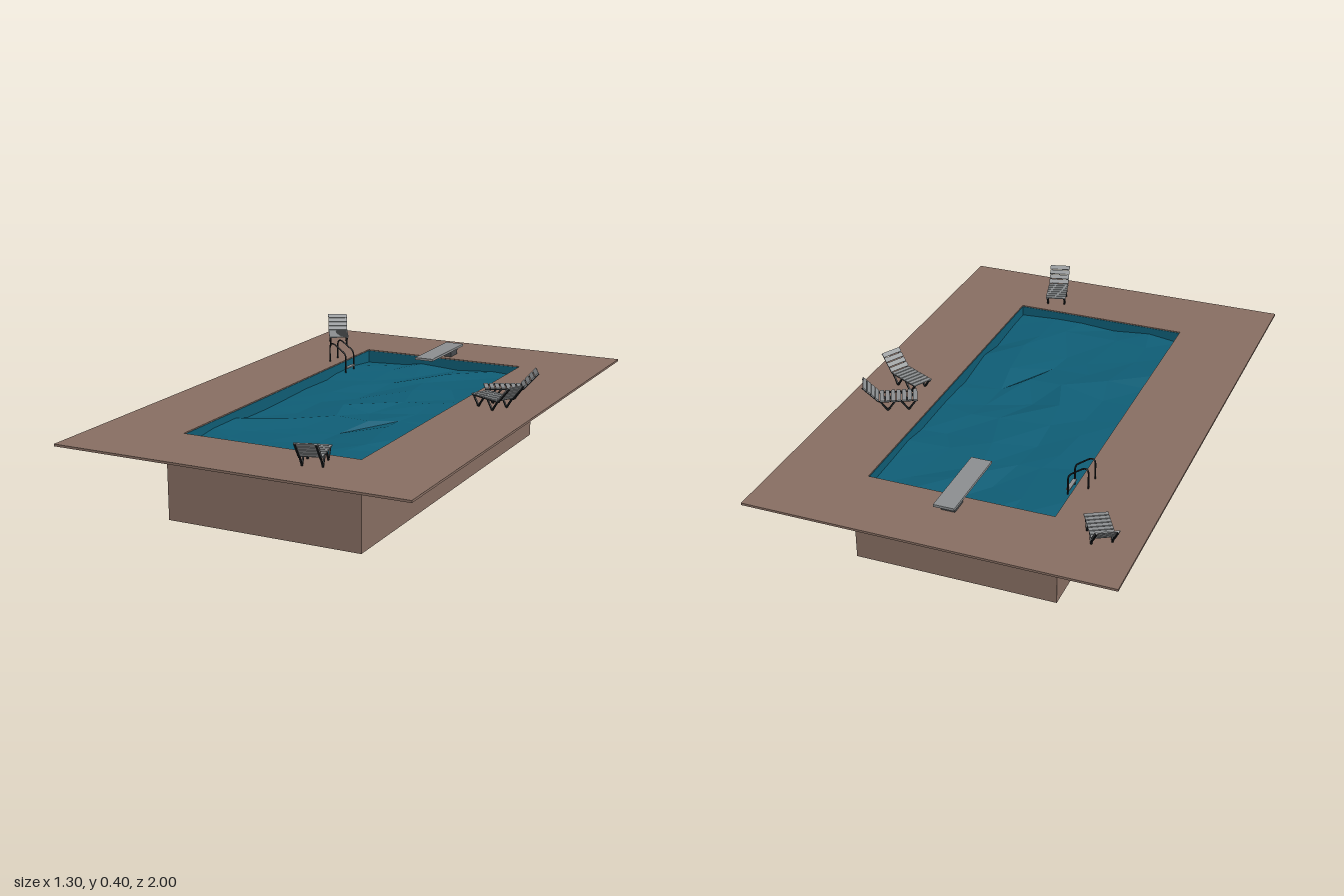
import * as THREE from 'three';

const mat = (name, color) => {
  const m = new THREE.MeshStandardMaterial({ color });
  m.name = name;
  return m;
};

export function createModel() {
  const stone = mat('brown stone', 0x876e62);
  const teal = mat('pool teal', 0x0f5d75);
  const grey = mat('light grey', 0x8b8e90);
  const darkGrey = mat('dark grey', 0x46494c);
  const black = mat('dark metal', 0x1b1f22);
  teal.side = THREE.DoubleSide;

  const model = new THREE.Group();
  model.name = 'swimmingPool';
  const add = (parent, name, geo, material, x = 0, y = 0, z = 0) => {
    const m = new THREE.Mesh(geo, material);
    m.name = name;
    m.position.set(x, y, z);
    parent.add(m);
    return m;
  };
  const box = (w, h, d) => new THREE.BoxGeometry(w, h, d);

  // Rectangular ring lying flat, outer and inner half sizes, rising from y = 0
  const ring = (ox, oz, ix, iz, h) => {
    const rect = (C, x, z) => {
      const p = new C();
      p.moveTo(-x, -z); p.lineTo(x, -z); p.lineTo(x, z); p.lineTo(-x, z); p.closePath();
      return p;
    };
    const s = rect(THREE.Shape, ox, oz);
    s.holes.push(rect(THREE.Path, ix, iz));
    return new THREE.ExtrudeGeometry(s, { depth: h, bevelEnabled: false }).rotateX(-Math.PI / 2);
  };

  // Deck and basin
  add(model, 'deck', ring(0.65, 1, 0.336, 0.702, 0.008), stone, 0, 0.287, 0);
  add(model, 'basinWalls', ring(0.366, 0.764, 0.336, 0.702, 0.272), stone, 0, 0.015, 0);
  add(model, 'basinFloor', box(0.732, 0.015, 1.528), stone, 0, 0.0075, 0);
  add(model, 'poolLining', ring(0.3358, 0.7018, 0.334, 0.7, 0.275), teal, 0, 0.016, 0);

  // Faceted water surface, jittered by a seeded generator
  let seed = 7;
  const rand = () => (seed = (seed * 16807) % 2147483647) / 2147483647 - 0.5;
  let water = new THREE.PlaneGeometry(0.668, 1.4, 5, 10).rotateX(-Math.PI / 2);
  const p = water.attributes.position;
  for (let i = 0; i < p.count; i++) {
    const x = p.getX(i), z = p.getZ(i);
    if (Math.abs(x) < 0.33) p.setX(i, x + rand() * 0.09);
    if (Math.abs(z) < 0.69) p.setZ(i, z + rand() * 0.1);
    p.setY(i, rand() * 0.026);
  }
  water = water.toNonIndexed();
  water.computeVertexNormals();
  add(model, 'water', water, teal, 0, 0.255, 0);

  // Diving board
  add(model, 'divingBoard', box(0.075, 0.009, 0.312), grey, 0, 0.327, -0.674);
  add(model, 'divingBoardBase', box(0.05, 0.028, 0.065), darkGrey, 0, 0.309, -0.765);

  // Ladder: two bent rails joined by steps
  const ladder = new THREE.Group();
  ladder.name = 'ladder';
  model.add(ladder);
  const path = new THREE.CurvePath();
  const v = (x, y) => new THREE.Vector3(x, y, 0);
  path.add(new THREE.LineCurve3(v(-0.38, 0.29), v(-0.38, 0.35)));
  path.add(new THREE.QuadraticBezierCurve3(v(-0.38, 0.35), v(-0.38, 0.383), v(-0.352, 0.363)));
  path.add(new THREE.LineCurve3(v(-0.352, 0.363), v(-0.32, 0.34)));
  path.add(new THREE.QuadraticBezierCurve3(v(-0.32, 0.34), v(-0.308, 0.331), v(-0.308, 0.316)));
  path.add(new THREE.LineCurve3(v(-0.308, 0.316), v(-0.308, 0.13)));
  for (const z of [-0.508, -0.44])
    add(ladder, 'ladderRail', new THREE.TubeGeometry(path, 48, 0.003, 8), black, 0, 0, z);
  for (const y of [0.275, 0.23, 0.18])
    add(ladder, 'ladderStep', box(0.014, 0.005, 0.068), grey, -0.308, y, -0.474);

  // Straight bar between two points
  const bar = (parent, name, a, b, t, material) => {
    const A = new THREE.Vector3(...a), B = new THREE.Vector3(...b);
    const m = add(parent, name, box(t, t, A.distanceTo(B)), material);
    m.position.copy(A).add(B).multiplyScalar(0.5);
    m.lookAt(B);
  };

  // Lounger: foot end at +z, raised back at -z
  const makeLounger = (x, z, degrees) => {
    const g = new THREE.Group();
    g.name = 'lounger';
    for (const s of [-0.034, 0.034]) {
      bar(g, 'seatRail', [s, 0.037, 0.098], [s, 0.037, -0.042], 0.005, black);
      bar(g, 'backRail', [s, 0.037, -0.042], [s, 0.096, -0.098], 0.005, black);
      for (const f of [-0.01, 0.065]) {
        bar(g, 'leg', [s, 0.001, f], [s, 0.037, f - 0.027], 0.0055, black);
        bar(g, 'leg', [s, 0.001, f], [s, 0.037, f + 0.027], 0.0055, black);
      }
    }
    for (let i = 0; i < 7; i++)
      add(g, 'seatSlat', box(0.08, 0.004, 0.016), grey, 0, 0.041, 0.09 - i * 0.02);
    const tilt = Math.atan2(0.059, 0.056);
    for (let i = 0; i < 4; i++) {
      const t = 0.14 + i * 0.25;
      add(g, 'backSlat', box(0.08, 0.004, 0.017), grey, 0, 0.041 + 0.059 * t, -0.04 - 0.056 * t)
        .rotation.x = tilt;
    }
    g.position.set(x, 0.295, z);
    g.rotation.y = THREE.MathUtils.degToRad(degrees);
    model.add(g);
  };
  makeLounger(-0.519, -0.779, 29.5);
  makeLounger(0.476, -0.243, -63.4);
  makeLounger(0.494, -0.068, -117);
  makeLounger(0.229, 0.828, -165.3);

  return model;
}
